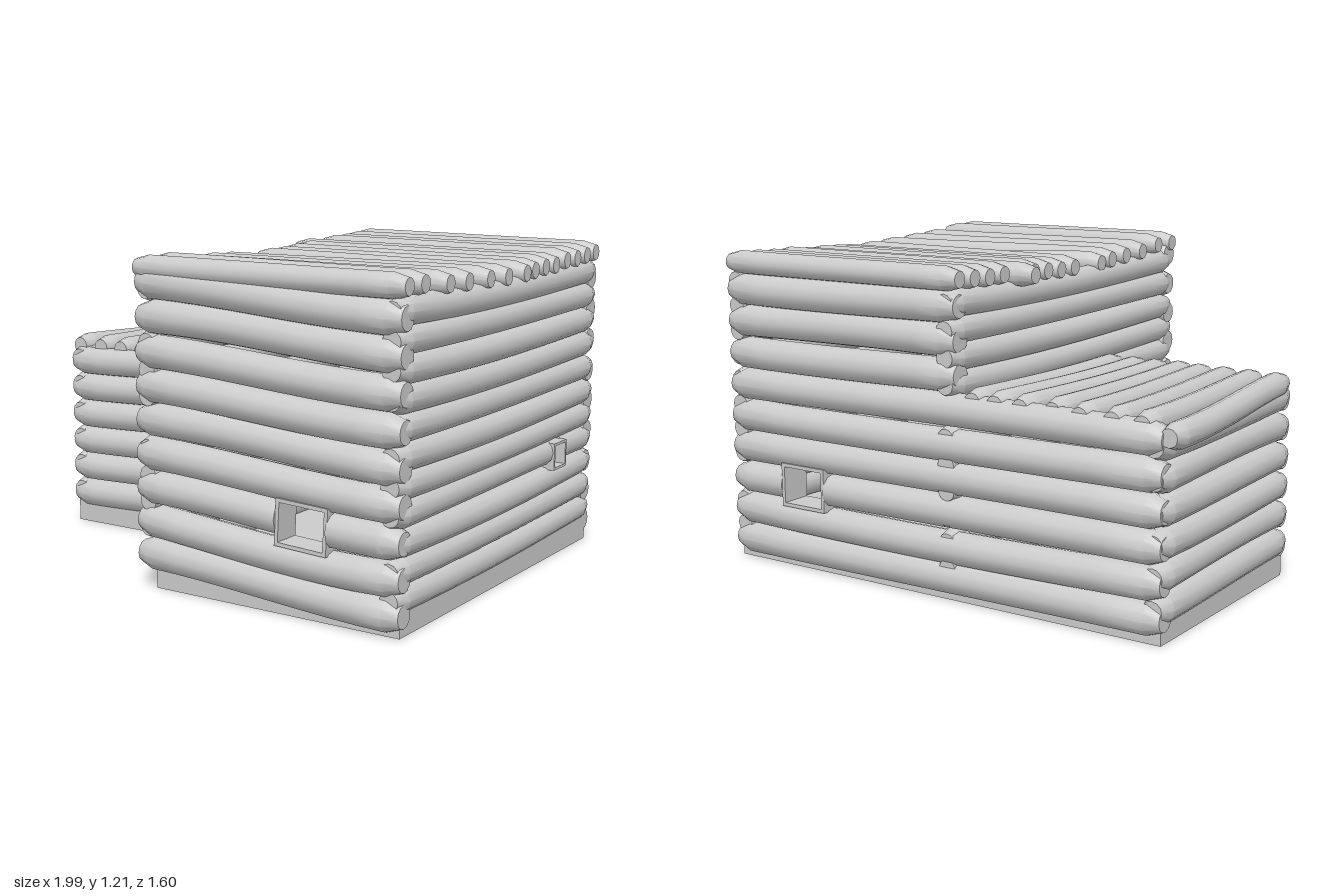
import * as THREE from 'three';
import { toCreasedNormals } from 'three/addons/utils/BufferGeometryUtils.js';

const grey = new THREE.MeshStandardMaterial({ color: 0xcccccc, side: THREE.DoubleSide });
const lerp = THREE.MathUtils.lerp;

function add(parent, name, geometry, x = 0, y = 0, z = 0) {
  const mesh = new THREE.Mesh(geometry, grey);
  mesh.name = name;
  mesh.position.set(x, y, z);
  parent.add(mesh);
  return mesh;
}

// A log from a to b along x or z, drifting in an S-curve and bowed by bend.
// t0..t1 keeps only part of it; the true ends are chamfered.
function log(parent, name, a, b, r, bend = 0, t0 = 0, t1 = 1) {
  const N = 11;
  const alongX = Math.abs(b[0] - a[0]) > Math.abs(b[2] - a[2]);
  const k = alongX ? 0 : 2;
  const chamfer = 0.055 / Math.abs(b[k] - a[k]);
  const geo = new THREE.CylinderGeometry(r, r, 1, 12, N);
  const p = geo.attributes.position;
  const lo = t0 === 0 ? chamfer : t0 + 0.002;
  const hi = t1 === 1 ? 1 - chamfer : t1 - 0.002;
  // Rings run from a to b, so a must have the smaller coordinate.
  for (let i = 0; i < p.count; i++) {
    const row = Math.round((p.getY(i) + 0.5) * N);
    const t = row === 0 ? t0 : row === N ? t1 : lerp(lo, hi, (row - 1) / (N - 2));
    const s = (row === 0 && t0 === 0) || (row === N && t1 === 1) ? 0.68 : 1;
    const u = p.getX(i) * s, v = p.getZ(i) * s;
    const e = t * t * (3 - 2 * t);
    const y = lerp(a[1], b[1], e) + bend * Math.sin(Math.PI * t);
    if (alongX) p.setXYZ(i, lerp(a[0], b[0], t), y + v, lerp(a[2], b[2], e) + u);
    else p.setXYZ(i, lerp(a[0], b[0], e) + v, y + u, lerp(a[2], b[2], t));
  }
  geo.computeVertexNormals();
  return add(parent, name, toCreasedNormals(geo, 0.55));
}

// A log interrupted by an opening between coordinates c0 and c1.
function splitLog(parent, name, a, b, r, bend, c0, c1) {
  const k = Math.abs(b[0] - a[0]) > Math.abs(b[2] - a[2]) ? 0 : 2;
  const t = (c) => (c - a[k]) / (b[k] - a[k]);
  log(parent, name, a, b, r, bend, 0, t(c0));
  log(parent, name, a, b, r, bend, t(c1), 1);
}

function rectPath(P, w, h) {
  const p = new P();
  p.moveTo(-w / 2, -h / 2);
  p.lineTo(w / 2, -h / 2);
  p.lineTo(w / 2, h / 2);
  p.lineTo(-w / 2, h / 2);
  p.closePath();
  return p;
}

// Rectangular frame around an opening of w by h, centred on its depth.
function frame(parent, name, w, h, bar, depth, x, y, z) {
  const shape = rectPath(THREE.Shape, w + 2 * bar, h + 2 * bar);
  shape.holes.push(rectPath(THREE.Path, w, h));
  const geo = new THREE.ExtrudeGeometry(shape, { depth, bevelEnabled: false });
  geo.translate(0, 0, -depth / 2);
  return add(parent, name, geo, x, y, z);
}

// L-shaped plan, drawn with y = -z, shrunk by d.
function plan(P, d) {
  const pts = [[-0.92 + d, 0.75 - d], [-0.92 + d, -0.17 + d], [-0.04 + d, -0.17 + d],
    [-0.04 + d, -0.75 + d], [0.97 - d, -0.75 + d], [0.97 - d, 0.75 - d]];
  return new P(pts.map(([x, y]) => new THREE.Vector2(x, y)));
}

export function createModel() {
  const model = new THREE.Group();
  model.name = 'logCabin';
  const group = (name) => {
    const g = new THREE.Group();
    g.name = name;
    model.add(g);
    return g;
  };

  // Hollow foundation skirt and floor
  const skirt = plan(THREE.Shape, 0);
  skirt.holes.push(plan(THREE.Path, 0.015));
  add(model, 'foundation', new THREE.ExtrudeGeometry(skirt, { depth: 0.1, bevelEnabled: false })).rotation.x = -Math.PI / 2;
  add(model, 'floor', new THREE.ShapeGeometry(plan(THREE.Shape, 0.01)), 0, 0.09, 0).rotation.x = -Math.PI / 2;

  // Front wall of the tall room, with a window gap in the third row
  const front = group('tallFrontWall');
  for (let i = 0; i < 9; i++) {
    const y = 0.075 + 0.123 * i;
    const a = [-0.1, y + 0.055, 0.74], b = [0.98, y, 0.74];
    if (i === 2) splitLog(front, 'frontLog', a, b, 0.062, 0, 0.505, 0.71);
    else log(front, 'frontLog', a, b, 0.062, i === 1 ? -0.015 : 0.006 * Math.sin(i * 2));
  }

  // Back wall: long rows below, short rows above the low room
  const back = group('backWall');
  for (let i = 0; i < 9; i++) {
    const y = 0.08 + 0.1225 * i;
    const a = [i < 6 ? -0.93 : -0.1, y + 0.01, -0.74], b = [0.97, y, -0.74];
    if (i === 2) splitLog(back, 'backLog', a, b, 0.062, 0, 0.505, 0.71);
    else log(back, 'backLog', a, b, 0.062, i === 1 ? -0.012 : 0.006 * Math.sin(i * 3));
  }

  // Long side walls of the tall room; the right one has a small window gap
  const sides = group('tallSideWalls');
  for (let i = 0; i < 11; i++) {
    const y = 0.125 + 0.0955 * i;
    const bend = -0.012 + 0.004 * Math.sin(i * 2.3);
    const a = [0.938, y + 0.01, -0.77], b = [0.938, y, 0.77];
    if (i === 3) splitLog(sides, 'sideLog', a, b, 0.052, 0, -0.485, -0.385);
    else log(sides, 'sideLog', a, b, 0.052, bend);
    log(sides, 'innerSideLog', [-0.06, y, -0.78], [-0.06, y + 0.01, 0.77], 0.052, bend);
  }

  // Low room: front wall with a door gap, and its outer side wall
  const low = group('lowRoomWalls');
  for (let i = 0; i < 6; i++) {
    const y = 0.135 + 0.112 * i;
    const a = [-0.93, y - 0.012, 0.145], b = [-0.06, y + 0.012, 0.145];
    if (i < 4) splitLog(low, 'lowFrontLog', a, b, 0.057, 0, -0.475, -0.275);
    else log(low, 'lowFrontLog', a, b, 0.057, 0);
    log(low, 'lowSideLog', [-0.895, y - 0.015, -0.77], [-0.895, y, 0.18], 0.057, 0.008 * Math.sin(i * 2));
  }

  // Door, frame and header
  const door = group('door');
  add(door, 'doorLeaf', new THREE.BoxGeometry(0.2, 0.37, 0.02), -0.375, 0.285, 0.165);
  add(door, 'doorHeader', new THREE.BoxGeometry(0.22, 0.1, 0.05), -0.375, 0.5, 0.145);
  frame(door, 'doorFrame', 0.19, 0.36, 0.02, 0.07, -0.375, 0.29, 0.17);

  // Windows
  const windows = group('windows');
  frame(windows, 'frontWindowFrame', 0.18, 0.14, 0.014, 0.11, 0.607, 0.332, 0.735).rotation.z = -0.05;
  frame(windows, 'backWindowFrame', 0.18, 0.14, 0.014, 0.12, 0.607, 0.33, -0.735);
  frame(windows, 'sideWindowFrame', 0.09, 0.085, 0.01, 0.11, 0.94, 0.405, -0.435).rotation.y = Math.PI / 2;

  // Tall roof logs: z at the left end, z at the right end, height
  const tallRoof = group('tallRoof');
  [[-0.75, -0.74, 1.16], [-0.66, -0.655, 1.155], [-0.57, -0.565, 1.15], [-0.48, -0.47, 1.15],
    [-0.37, -0.37, 1.14], [-0.285, -0.28, 1.14], [-0.195, -0.19, 1.135], [-0.105, -0.12, 1.13],
    [-0.01, 0.03, 1.13], [0.265, 0.17, 1.135], [0.375, 0.33, 1.14], [0.505, 0.465, 1.145],
    [0.635, 0.635, 1.16], [0.75, 0.74, 1.16]].forEach(([z0, z1, y], i) => {
    log(tallRoof, 'roofLog', [i === 4 ? -0.17 : -0.11, y + 0.005, z0], [0.985, y, z1], 0.045);
  });
  log(tallRoof, 'fallenRoofLog', [-0.1, 1.13, 0.2], [0.97, 1.1, -0.15], 0.045);

  // Low roof logs: x at the back end, x at the front end
  const lowRoof = group('lowRoof');
  [[-0.95, -0.91], [-0.85, -0.8], [-0.735, -0.695], [-0.61, -0.59], [-0.49, -0.495],
    [-0.37, -0.4], [-0.265, -0.305], [-0.17, -0.2]].forEach(([x0, x1], i) => {
    log(lowRoof, 'lowRoofLog', [x0, i ? 0.745 : 0.715, i === 4 ? -0.75 : -0.77], [x1, 0.745, i === 4 ? 0.17 : 0.155], 0.048, -0.008);
  });
  return model;
}
